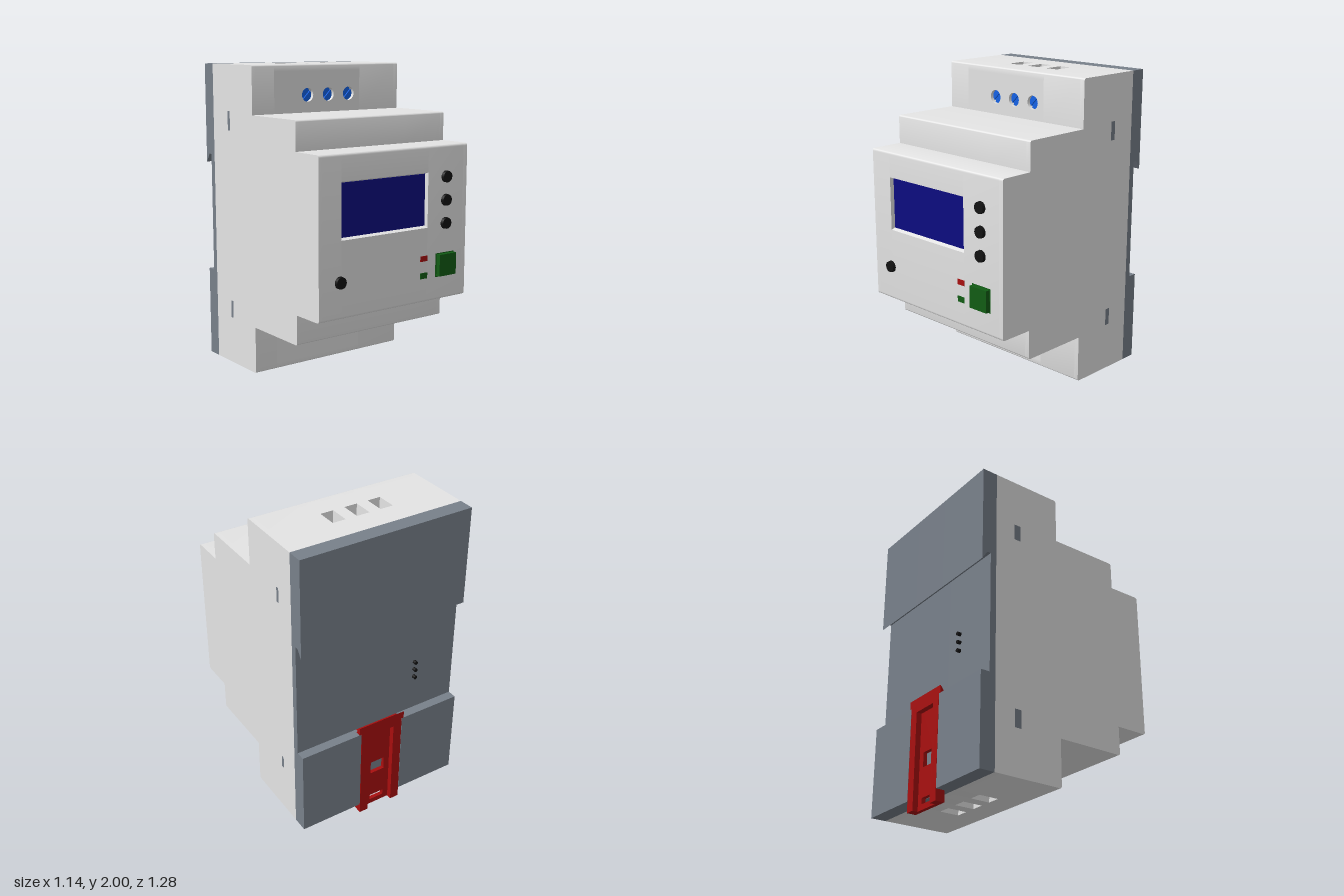
import * as THREE from 'three';
import { mergeGeometries, toCreasedNormals } from 'three/addons/utils/BufferGeometryUtils.js';

const mat = (name, color) => {
  const m = new THREE.MeshStandardMaterial({ color });
  m.name = name;
  return m;
};

// Closed shape from [a, b, radius] corners, with optional rounding
function outline(points) {
  const shape = new THREE.Shape();
  const n = points.length;
  points.forEach((p, i) => {
    const q = points[(i + n - 1) % n], s = points[(i + 1) % n], r = p[2] || 0;
    const toward = (t) => {
      const d = Math.hypot(t[0] - p[0], t[1] - p[1]);
      return [p[0] + (t[0] - p[0]) * r / d, p[1] + (t[1] - p[1]) * r / d];
    };
    const a = r ? toward(q) : p;
    if (i === 0) shape.moveTo(a[0], a[1]); else shape.lineTo(a[0], a[1]);
    if (r) {
      const b = toward(s);
      shape.quadraticCurveTo(p[0], p[1], b[0], b[1]);
    }
  });
  shape.closePath();
  return shape;
}

const rect = (x0, x1, y0, y1) => outline([[x0, y0], [x1, y0], [x1, y1], [x0, y1]]);

// Side profile given as (z, y) corners, swept from x0 to x1
function sweepX(points, x0, x1, holes = []) {
  const flip = (pts) => pts.map(([z, y, r]) => [-z, y, r]);
  const shape = outline(flip(points));
  holes.forEach((h) => shape.holes.push(outline(flip(h))));
  const g = new THREE.ExtrudeGeometry(shape, { depth: x1 - x0, bevelEnabled: false, curveSegments: 5 });
  return g.rotateY(Math.PI / 2).translate(x0, 0, 0);
}

// Front-facing shape swept from z0 to z1
const sweepZ = (shape, z0, z1) =>
  new THREE.ExtrudeGeometry(shape, { depth: z1 - z0, bevelEnabled: false, curveSegments: 12 }).translate(0, 0, z0);

export function createModel() {
  const root = new THREE.Group();
  root.name = 'railMeter';
  const shell = mat('light grey shell', 0xe4e4e4), dark = mat('slate grey', 0x78808a);
  const blue = mat('terminal blue', 0x1462e6), navy = mat('screen navy', 0x0c0c80);
  const black = mat('black', 0x121212), red = mat('red', 0xa80e0e), green = mat('green', 0x115c14);

  const add = (name, geometry, material, parent = root) => {
    const m = new THREE.Mesh(geometry, material);
    m.name = name;
    parent.add(m);
    return m;
  };
  const box = (name, material, x0, x1, y0, y1, z0, z1, parent) =>
    add(name, new THREE.BoxGeometry(x1 - x0, y1 - y0, z1 - z0)
      .translate((x0 + x1) / 2, (y0 + y1) / 2, (z0 + z1) / 2), material, parent);

  // Stepped housing: slices across x, notched for the screen, screws and wire slots
  const W = 0.57, R = 0.016, POCKET = 0.09;
  const screen = { x0: -0.41, x1: 0.25, y0: 1.02, y1: 1.36, z: 0.58 };
  const wires = [[-0.205, -0.12], [-0.045, 0.04], [0.115, 0.2]];
  const slotZ = [-0.375, -0.245], faceZ = -0.07, holeZ = -0.11;
  const screwBands = [[0.11, 0.35], [1.72, 1.96]];

  function housing(mid, wired) {
    const [s0, s1] = slotZ;
    const notch = ([a, b]) => (mid ? [[faceZ, a], [holeZ, a], [holeZ, b], [faceZ, b]] : []);
    return [
      [-0.535, 0.07],
      ...(wired ? [[s0, 0.07], [s0, 0.07 + POCKET], [s1, 0.07 + POCKET], [s1, 0.07]] : []),
      [faceZ, 0.07, R], ...notch(screwBands[0]), [faceZ, 0.37],
      [0.39, 0.37, R], [0.39, 0.555], [0.61, 0.555, R],
      ...(mid ? [[0.61, screen.y0], [screen.z, screen.y0 + 0.01],
        [screen.z, screen.y1 - 0.01], [0.61, screen.y1]] : []),
      [0.61, 1.52, R], [0.39, 1.52], [0.39, 1.7, R], [faceZ, 1.7],
      ...notch(screwBands[1]), [faceZ, 2, R],
      ...(wired ? [[s1, 2], [s1, 2 - POCKET], [s0, 2 - POCKET], [s0, 2]] : []),
      [-0.535, 2],
    ];
  }
  const sideSlots = [[0.36, 0.485], [1.585, 1.71]].map(([a, b]) =>
    [[-0.4, a], [-0.335, a], [-0.335, b], [-0.4, b]]);
  const cuts = [-W, -0.54, screen.x0, ...wires.flat(), screen.x1, 0.54, W];
  const slices = cuts.slice(1).map((x1, i) => {
    const x0 = cuts[i], c = (x0 + x1) / 2;
    const mid = c > screen.x0 && c < screen.x1;
    const wired = wires.some(([a, b]) => c > a && c < b);
    return sweepX(housing(mid, wired), x0, x1, Math.abs(c) > 0.54 ? sideSlots : []);
  });
  add('housing', toCreasedNormals(mergeGeometries(slices), 0.6), shell);

  // Dark floors of the side slots
  for (const s of [-1, 1]) for (const [a, b] of [[0.36, 0.485], [1.585, 1.71]]) {
    const x = s * 0.543;
    box('sideSlotFloor', dark, x - 0.004, x + 0.004, a, b, -0.4, -0.335);
  }

  // Screw panels with round holes, and the slotted screws behind them
  const screwX = [-0.16, 0, 0.16];
  screwBands.forEach(([a, b], k) => {
    const y = k ? 1.81 : 0.26;
    const panel = rect(screen.x0, screen.x1, a, b);
    screwX.forEach((x) => panel.holes.push(new THREE.Path().absarc(x, y, 0.043, 0, Math.PI * 2, true)));
    add('screwPanel', toCreasedNormals(sweepZ(panel, holeZ, faceZ), 0.6), shell);
    screwX.forEach((x) => {
      const screw = new THREE.Group();
      screw.name = 'terminalScrew';
      screw.position.set(x, y, holeZ);
      root.add(screw);
      add('screwCore', new THREE.CylinderGeometry(0.043, 0.043, 0.01, 24).rotateX(Math.PI / 2).translate(0, 0, 0.003), blue, screw);
      const half = new THREE.Shape().absarc(0, 0, 0.043, 0.17, Math.PI - 0.17, false);
      half.closePath();
      for (const turn of [0, Math.PI]) {
        add('screwHead', sweepZ(half, 0, 0.018), blue, screw).rotation.z = Math.PI / 4 + turn;
      }
    });
  });

  // Blue clamps at the bottom of the wire pockets
  for (const [a, b] of wires) for (const y of [0.07 + POCKET, 2 - POCKET]) {
    box('wireClamp', blue, a, b, y - 0.004, y + 0.004, ...slotZ);
  }

  // Front panel: display, push buttons, lamps and square key
  box('display', navy, screen.x0 + 0.003, screen.x1 - 0.003, screen.y0 + 0.01, screen.y1 - 0.01, screen.z - 0.004, screen.z + 0.004);
  for (const [x, y] of [[0.395, 1.325], [0.395, 1.18], [0.395, 1.035], [-0.42, 0.775]]) {
    add('pushButton', new THREE.CylinderGeometry(0.035, 0.038, 0.03, 20)
      .rotateX(Math.PI / 2).translate(x, y, 0.615), black);
  }
  box('redLamp', red, 0.195, 0.252, 0.813, 0.847, 0.606, 0.613);
  box('greenLamp', green, 0.195, 0.252, 0.704, 0.741, 0.606, 0.613);
  box('squareKeyBase', green, 0.32, 0.47, 0.7, 0.85, 0.605, 0.612);
  box('squareKey', green, 0.328, 0.465, 0.708, 0.845, 0.605, 0.642);

  // Back cover with the rail channel; the middle slice leaves room for the clip
  const FLOOR = -0.575, BACK = -0.635, C = 0.152;
  const cover = (lip) => [
    [-0.535, 0.07], [-0.535, 2], [BACK, 2], [BACK, 1.365], [-0.6, 1.42], [FLOOR, 1.42],
    ...(lip ? [[FLOOR, 0.65], [BACK, 0.65], [BACK, 0.07]] : [[FLOOR, 0.07]]),
  ];
  add('backCover', mergeGeometries([
    sweepX(cover(true), -W, -C), sweepX(cover(false), -C, C), sweepX(cover(true), C, W),
  ]), dark);
  for (const y of [0.895, 0.95, 1.005]) {
    add('contactPin', new THREE.CylinderGeometry(0.012, 0.012, 0.03, 12)
      .rotateX(Math.PI / 2).translate(-0.27, y, FLOOR - 0.008), black);
  }

  // Sliding rail clip: two rails, a pierced web and a wedge hook on top
  const clip = new THREE.Group();
  clip.name = 'railClip';
  root.add(clip);
  for (const s of [-1, 1]) {
    box('clipRail', red, s * 0.12 - 0.03, s * 0.12 + 0.03, 0, 0.65, BACK, FLOOR, clip);
  }
  const web = rect(-0.09, 0.09, 0, 0.65);
  web.holes.push(rect(-0.05, 0.05, 0.035, 0.072), rect(-0.05, 0.05, 0.26, 0.35));
  add('clipWeb', sweepZ(web, -0.6, FLOOR), red, clip);
  box('clipCrossbar', red, -0.09, 0.09, 0.61, 0.65, BACK, FLOOR, clip);
  add('clipHook', sweepX([[-0.597, 0.65], [BACK, 0.65], [BACK, 0.7]], -0.165, 0.165), red, clip);

  return root;
}
